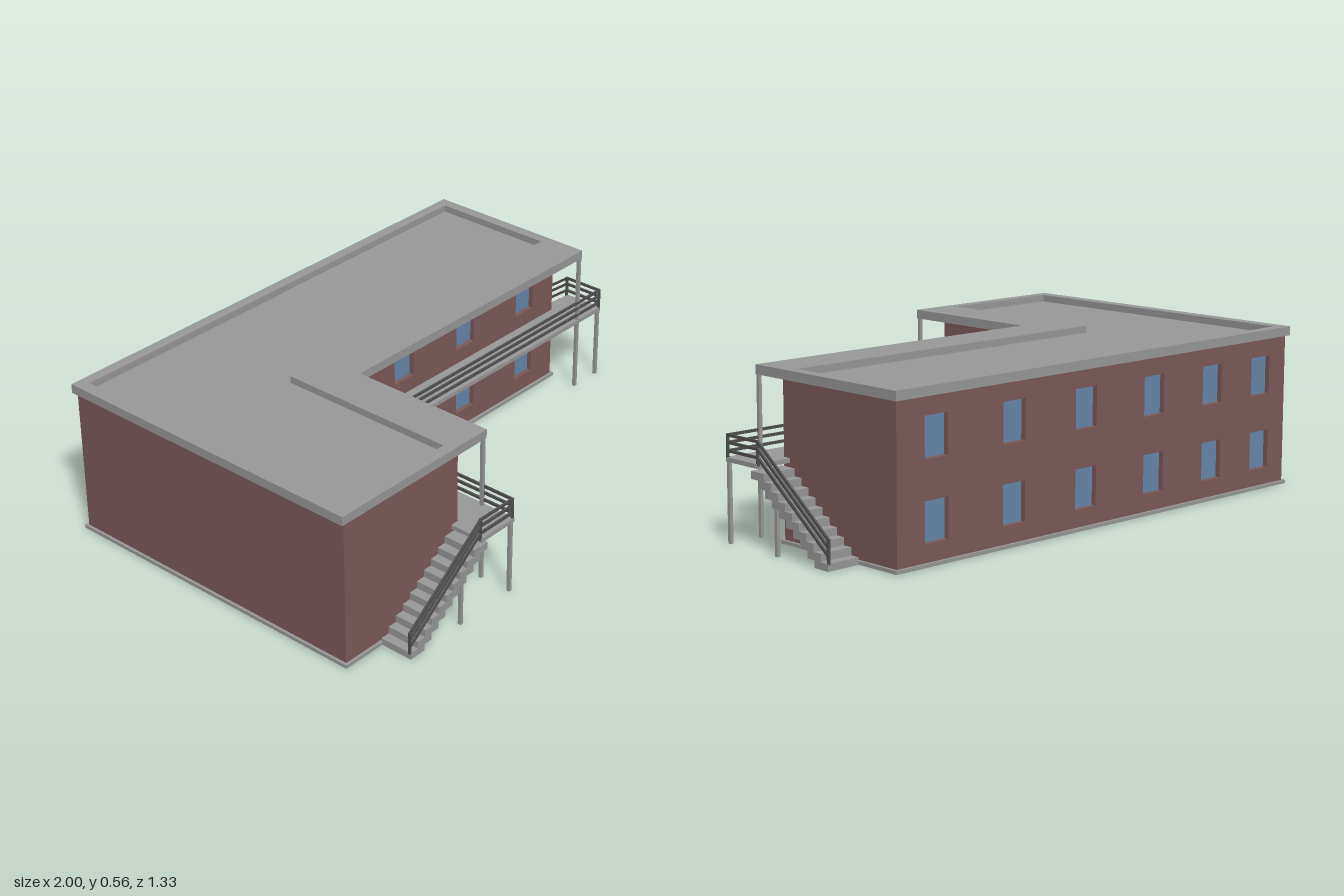
import * as THREE from 'three';

const mat = (name, color) => new THREE.MeshStandardMaterial({ name, color });

export function createModel() {
  const brick = mat('brick', 0x7d5a5a);
  const concrete = mat('concrete', 0x999999);
  const glass = mat('glass', 0x6688aa);
  const steel = mat('railing steel', 0x505050);

  const model = new THREE.Group();
  model.name = 'building';

  const add = (parent, name, geometry, material) => {
    const mesh = new THREE.Mesh(geometry, material);
    mesh.name = name;
    parent.add(mesh);
    return mesh;
  };
  const group = (name) => {
    const g = new THREE.Group();
    g.name = name;
    model.add(g);
    return g;
  };
  // Box given by its corner limits
  const block = (parent, name, x0, x1, y0, y1, z0, z1, material) => {
    const m = add(parent, name, new THREE.BoxGeometry(x1 - x0, y1 - y0, z1 - z0), material);
    m.position.set((x0 + x1) / 2, (y0 + y1) / 2, (z0 + z1) / 2);
    return m;
  };
  // Horizontal plate from a plan outline of [x, z] points
  const points = (list) => list.map(([x, z]) => new THREE.Vector2(x, z));
  const plate = (name, outline, y0, y1, hole) => {
    const shape = new THREE.Shape(points(outline));
    if (hole) shape.holes.push(new THREE.Path(points(hole)));
    const geo = new THREE.ExtrudeGeometry(shape, { depth: y1 - y0, bevelEnabled: false });
    geo.rotateX(Math.PI / 2);
    add(model, name, geo, concrete).position.y = y1;
  };
  // L-shaped plan: main block plus front wing
  const ell = (x0, x1, z0, zIn, xIn, z1) =>
    [[x0, z0], [x1, z0], [x1, zIn], [xIn, zIn], [xIn, z1], [x0, z1]];

  // Base, roof deck and parapet
  plate('baseSlab', ell(-0.995, 0.875, -0.665, -0.115, -0.445, 0.545), 0, 0.012);
  const roof = ell(-1, 0.875, -0.665, 0, -0.325, 0.545);
  plate('roofDeck', roof, 0.533, 0.54);
  plate('parapet', roof, 0.54, 0.565, ell(-0.955, 0.835, -0.625, -0.16, -0.49, 0.505));

  // Walls with recessed windows; a and b run left to right seen from outside
  const facade = (name, x, z, turn, a, b, windows) => {
    const wall = group(name);
    wall.position.set(x, 0.012, z);
    wall.rotation.y = turn;
    const h = 0.521;
    const shape = new THREE.Shape(points([[a, 0], [b, 0], [b, h], [a, h]]));
    for (const c of windows) {
      for (const y of [0.06, 0.325]) {
        const w = 0.049, t = 0.135;
        shape.holes.push(new THREE.Path(
          points([[c - w, y], [c - w, y + t], [c + w, y + t], [c + w, y]])));
        const pane = add(wall, 'windowPane', new THREE.PlaneGeometry(2 * w, t), glass);
        pane.position.set(c, y + t / 2, -0.018);
      }
    }
    const geo = new THREE.ExtrudeGeometry(shape, { depth: 0.02, bevelEnabled: false });
    geo.translate(0, 0, -0.02);
    add(wall, 'brickWall', geo, brick);
  };
  const bays = [-0.295, 0.035, 0.365, 0.7];
  facade('frontWall', 0, -0.125, 0, -0.455, 0.865, bays);
  facade('wingFrontWall', 0, 0.535, 0, -0.985, -0.455, []);
  facade('wingInnerWall', -0.455, 0, Math.PI / 2, -0.535, 0.125, [-0.372, -0.042]);
  facade('leftEndWall', 0.865, 0, Math.PI / 2, 0.125, 0.655, []);
  facade('rightEndWall', -0.985, 0, -Math.PI / 2, -0.655, 0.535, []);
  facade('backWall', 0, -0.655, Math.PI, -0.865, 0.985,
    [-0.852, -0.593, ...bays].map((x) => -x));

  // Upper walkway with a landing at each end
  plate('walkway', [[-0.455, -0.125], [0.865, -0.125], [0.865, -0.155], [1, -0.155], [1, 0],
    [-0.325, 0], [-0.325, 0.665], [-0.49, 0.665], [-0.49, 0.54], [-0.455, 0.54]], 0.267, 0.282);

  // Columns: [x, z, top]
  const columns = group('columns');
  for (const [x, z, top] of [
    [-0.335, 0.538, 0.535], [-0.335, -0.007, 0.535], [0.867, -0.007, 0.535],
    [-0.335, 0.657, 0.27], [0.992, -0.007, 0.27],
    [-0.58, 0.657, 0.182], [0.992, -0.242, 0.182],
  ]) {
    block(columns, 'column', x - 0.006, x + 0.006, 0, top, z - 0.006, z + 0.006, concrete);
  }

  // Stairs: overlapping steps descending along local +x
  const steps = 10, run = 0.0338, rise = 0.0258;
  const stair = (name, x, z, turn) => {
    const flight = group(name);
    flight.position.set(x, 0, z);
    flight.rotation.y = turn;
    for (let i = 0; i < steps; i++) {
      const top = 0.282 - rise * (i + 1);
      block(flight, 'step', run * (i - 0.9), run * (i + 1), Math.max(0, top - rise), top,
        -0.0615, 0.0615, concrete);
    }
  };
  stair('frontStair', -0.49, 0.603, Math.PI);
  stair('sideStair', 0.938, -0.155, Math.PI / 2);

  // Railing: three bars following the outer edge, with posts at the corners
  const railing = group('railing');
  const drop = 0.255;
  const path = [
    [-0.828, 0.66, -drop], [-0.49, 0.66, 0], [-0.331, 0.66, 0], [-0.331, -0.004, 0],
    [0.995, -0.004, 0], [0.995, -0.155, 0], [0.995, -0.49, -drop],
  ];
  const bar = (p, q) => {
    const m = add(railing, 'rail',
      new THREE.BoxGeometry(0.007, 0.009, p.distanceTo(q) + 0.006), steel);
    m.position.copy(p).lerp(q, 0.5);
    m.lookAt(q);
  };
  path.forEach(([x, z, dy], i) => {
    block(railing, 'railPost', x - 0.004, x + 0.004, 0.275 + dy, 0.357 + dy,
      z - 0.004, z + 0.004, steel);
    if (!i) return;
    const [px, pz, pdy] = path[i - 1];
    for (const y of [0.302, 0.329, 0.353]) {
      bar(new THREE.Vector3(px, y + pdy, pz), new THREE.Vector3(x, y + dy, z));
    }
  });

  return model;
}
